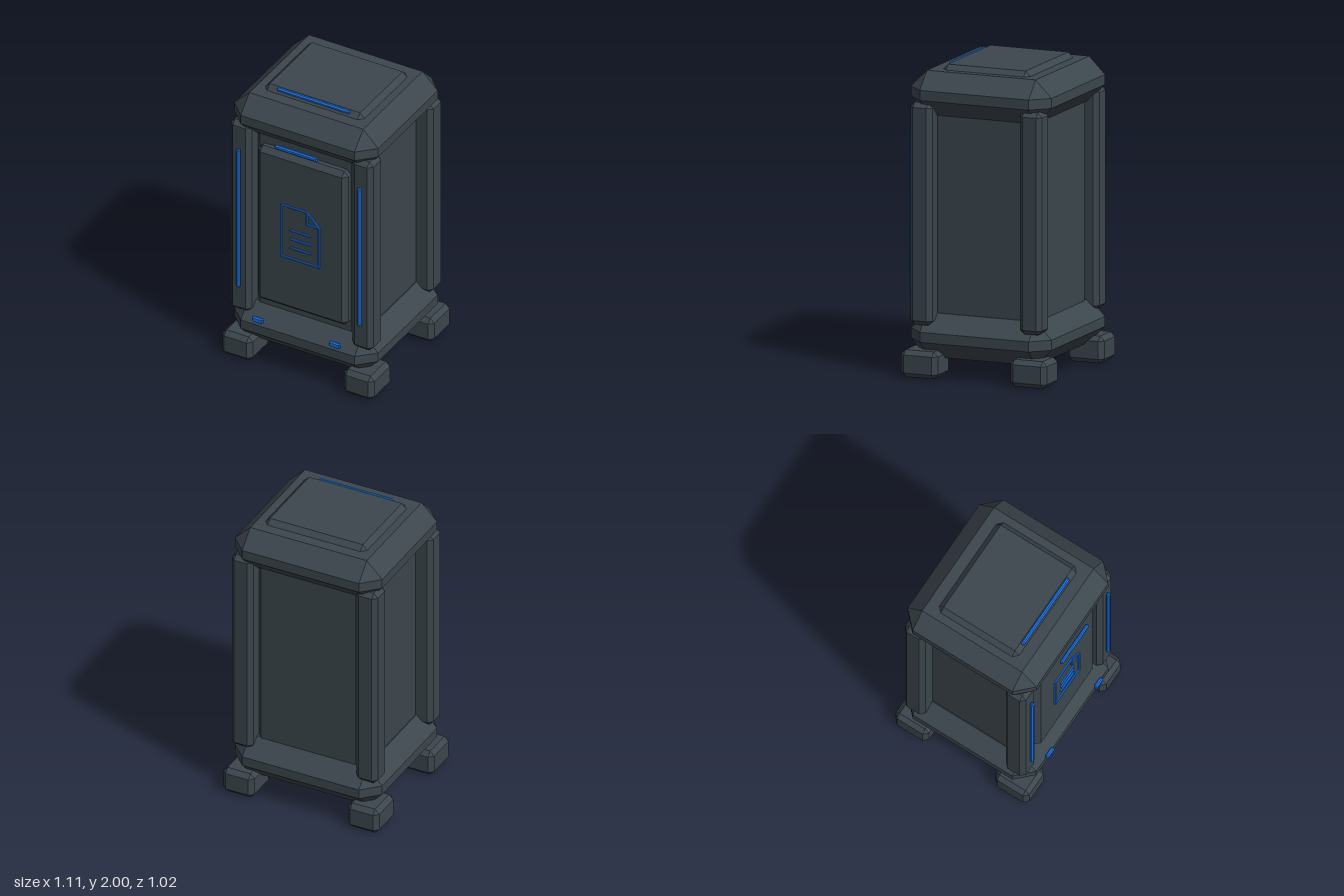
import * as THREE from 'three';
import { ConvexGeometry } from 'three/addons/geometries/ConvexGeometry.js';

const shell = new THREE.MeshStandardMaterial({ color: 0x3c464d, flatShading: true });
const glow = new THREE.MeshStandardMaterial({ color: 0x1a73e8, flatShading: true });

// Box with every edge and corner cut at 45 degrees
function chamferBox(w, h, d, c) {
  const points = [];
  for (const sx of [-1, 1]) for (const sy of [-1, 1]) for (const sz of [-1, 1]) {
    const x = w / 2, y = h / 2, z = d / 2;
    points.push(
      new THREE.Vector3(sx * x, sy * (y - c), sz * (z - c)),
      new THREE.Vector3(sx * (x - c), sy * y, sz * (z - c)),
      new THREE.Vector3(sx * (x - c), sy * (y - c), sz * z));
  }
  return new ConvexGeometry(points);
}

export function createModel() {
  const model = new THREE.Group();
  model.name = 'kiosk';

  // Adds a chamfered block given its extent along each axis
  function block(name, [x0, x1], [y0, y1], [z0, z1], c, material = shell) {
    const mesh = new THREE.Mesh(chamferBox(x1 - x0, y1 - y0, z1 - z0, c), material);
    mesh.position.set((x0 + x1) / 2, (y0 + y1) / 2, (z0 + z1) / 2);
    mesh.name = name;
    model.add(mesh);
    return mesh;
  }

  // Main housing
  block('base', [-0.525, 0.525], [0.12, 0.405], [-0.491, 0.482], 0.11);
  block('body', [-0.41, 0.41], [0.3, 1.8], [-0.385, 0.378], 0.075);
  block('lid', [-0.525, 0.525], [1.68, 1.965], [-0.491, 0.482], 0.11);
  block('topPlate', [-0.366, 0.366], [1.91, 1.998], [-0.31, 0.299], 0.036);
  block('door', [-0.33, 0.33], [0.455, 1.625], [0.34, 0.44], 0.033);

  // Corner pillars and feet
  for (const s of [-1, 1]) {
    const span = (a, b) => (s > 0 ? [a, b] : [-b, -a]);
    for (const [end, pz, fz] of [
      ['front', [0.3, 0.453], [0.246, 0.501]],
      ['back', [-0.46, -0.306], [-0.509, -0.256]],
    ]) {
      block(end + 'Pillar', span(0.367, 0.52), [0.335, 1.77], pz, 0.03);
      block(end + 'Foot', span(0.333, 0.555), [0, 0.176], fz, 0.03);
    }
    // Light strips on the front pillars and small lamps on the base
    block('pillarLight', span(0.427, 0.455), [0.53, 1.58], [0.453, 0.479], 0.008, glow);
    block('baseLamp', span(0.24, 0.322), [0.328, 0.368], [0.482, 0.509], 0.008, glow);
  }

  // Light bars above the door and on top
  block('doorLight', [-0.156, 0.156], [1.7, 1.73], [0.484, 0.509], 0.008, glow);
  block('topLight', [-0.266, 0.266], [1.975, 2], [0.263, 0.29], 0.008, glow);

  // Raised page pictogram on the door
  const page = new THREE.Group();
  page.name = 'pagePictogram';
  model.add(page);
  function stroke(name, [x0, y0], [x1, y1]) {
    const width = 0.012;
    const length = Math.hypot(x1 - x0, y1 - y0) + width;
    const mesh = new THREE.Mesh(chamferBox(length, width, 0.02, 0.004), glow);
    mesh.position.set((x0 + x1) / 2, (y0 + y1) / 2, 0.442);
    mesh.rotation.z = Math.atan2(y1 - y0, x1 - x0);
    mesh.name = name;
    page.add(mesh);
  }
  const outline = [[-0.139, 0.857], [0.136, 0.857], [0.136, 1.155], [0.048, 1.246], [-0.139, 1.246]];
  outline.forEach((p, i) => stroke('pageEdge', p, outline[(i + 1) % outline.length]));
  stroke('pageFold', [0.048, 1.246], [0.048, 1.155]);
  stroke('pageFold', [0.048, 1.155], [0.136, 1.155]);
  for (const y of [0.938, 1.005, 1.071]) stroke('pageLine', [-0.071, y], [0.071, y]);

  return model;
}
